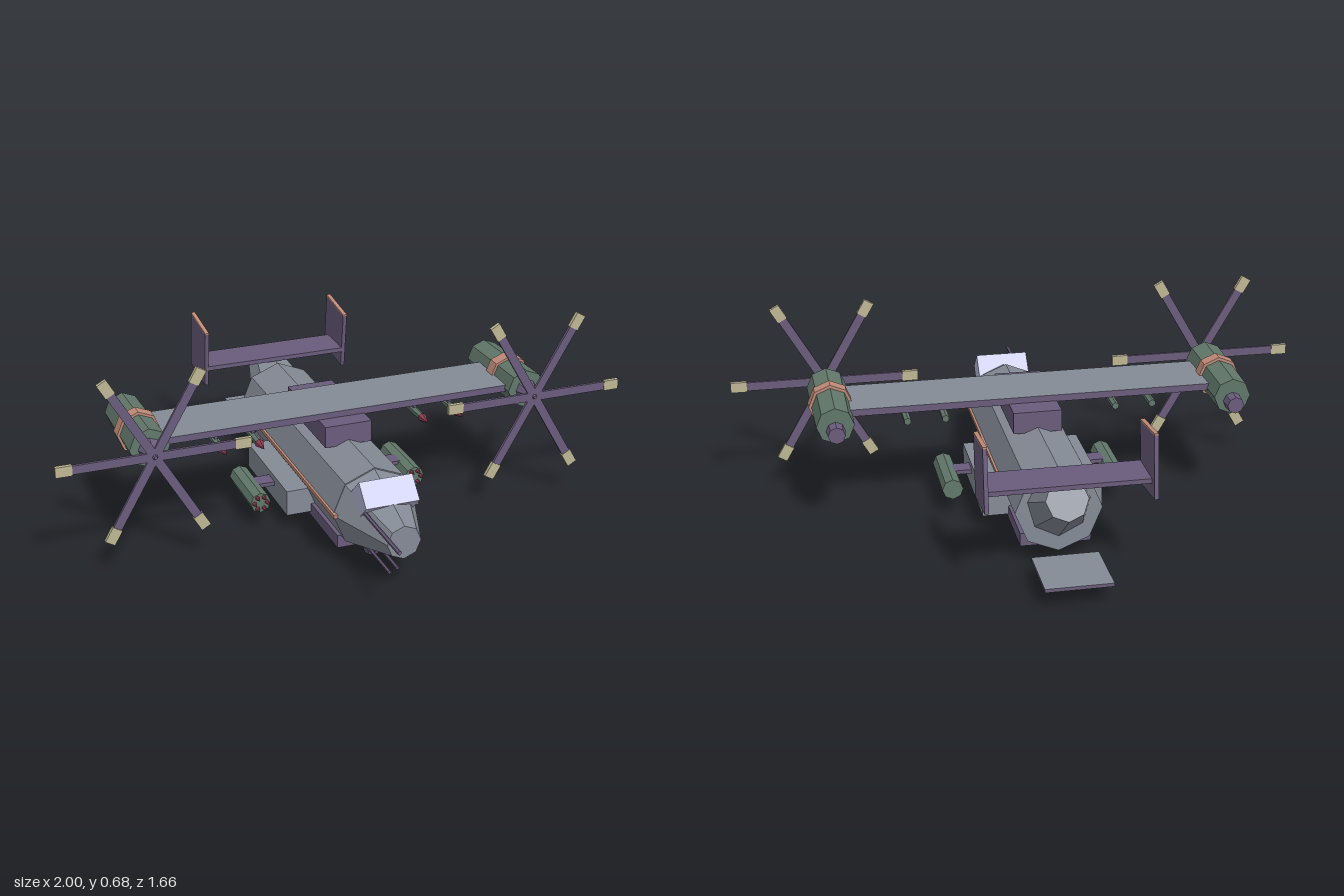
import * as THREE from 'three';

function mat(name, color) {
  const m = new THREE.MeshStandardMaterial({ color });
  m.name = name;
  return m;
}

export function createModel() {
  const grey = mat('hull grey', 0x858b96);
  const purple = mat('dusky purple', 0x6a5c7c);
  const green = mat('pod green', 0x62786b);
  const orange = mat('trim orange', 0xc08c79);
  const tan = mat('blade tip tan', 0xbfb794);
  const glass = mat('glass lavender', 0xbcbce0);
  const red = mat('warhead red', 0x8c3a50);

  const model = new THREE.Group();
  model.name = 'tiltrotorAircraft';
  const craft = new THREE.Group();
  craft.name = 'aircraft';
  craft.rotation.y = -0.038; // slight yaw of the whole craft
  craft.position.x = 0.005;
  model.add(craft);

  // Faceted mesh helper
  function add(parent, name, geometry, material, x, y, z) {
    const g = geometry.index ? geometry.toNonIndexed() : geometry;
    g.computeVertexNormals();
    const mesh = new THREE.Mesh(g, material);
    mesh.name = name;
    mesh.position.set(x, y, z);
    parent.add(mesh);
    return mesh;
  }
  const box = (parent, name, m, w, h, d, x, y, z) =>
    add(parent, name, new THREE.BoxGeometry(w, h, d), m, x, y, z);
  // Prism along z from z0 (radius r0) to z1 (radius r1)
  const rod = (parent, name, m, r0, r1, z0, z1, x, y, sides = 8) =>
    add(parent, name,
      new THREE.CylinderGeometry(r1, r0, z1 - z0, sides).rotateX(Math.PI / 2),
      m, x, y, (z0 + z1) / 2);
  // Plate whose upper face alone is grey
  const topGrey = [purple, purple, grey, purple, purple, purple];

  // Fuselage
  rod(craft, 'fuselage', grey, 0.144, 0.144, -0.515, 0.43, 0, 0.182);
  rod(craft, 'nose', grey, 0.144, 0.058, 0.43, 0.68, 0, 0.178);
  const tail = rod(craft, 'tailCone', grey, 0.07, 0.12, -0.105, 0.105, 0, 0.232);
  tail.position.z = -0.545;
  tail.rotation.x = 0.44;
  box(craft, 'keel', purple, 0.235, 0.045, 0.87, 0, 0.0625, -0.032);
  box(craft, 'wingMount', purple, 0.165, 0.075, 0.37, 0, 0.345, 0.015);
  box(craft, 'rearRamp', topGrey, 0.22, 0.012, 0.215, 0, 0.067, -0.722);
  const windscreen = box(craft, 'windscreen', glass, 0.185, 0.092, 0.092, 0, 0.267, 0.522);
  windscreen.rotation.x = 0.8;

  // Nose equipment
  rod(craft, 'refuellingProbe', purple, 0.007, 0.007, 0.5, 0.835, -0.083, 0.235, 6);
  add(craft, 'chinTurret', new THREE.SphereGeometry(0.034, 8, 4), purple, 0, 0.034, 0.415);
  for (const s of [-1, 1]) {
    rod(craft, 'gunBarrel', purple, 0.006, 0.006, 0.42, 0.6, s * 0.014, 0.036 + s * 0.005, 6);
  }

  // Wing and tailplane
  box(craft, 'wing', topGrey, 1.3, 0.024, 0.222, 0, 0.392, 0.024);
  box(craft, 'tailplane', purple, 0.54, 0.016, 0.145, 0, 0.335, -0.603);

  for (const s of [-1, 1]) {
    const side = s > 0 ? 'left' : 'right';

    // Hull side trim, sponson and rocket pod
    box(craft, side + 'Stripe', orange, 0.014, 0.014, 0.73, s * 0.142, 0.182, 0.085);
    box(craft, side + 'Sponson', grey, 0.12, 0.09, 0.41, s * 0.145, 0.1, -0.05);
    box(craft, side + 'PodArm', purple, 0.09, 0.014, 0.06, s * 0.235, 0.118, 0);
    const pod = new THREE.Group();
    pod.name = side + 'RocketPod';
    pod.position.set(s * 0.284, 0.097, 0);
    craft.add(pod);
    rod(pod, 'podBody', green, 0.036, 0.036, -0.118, 0.112, 0, 0);
    for (let i = 0; i < 6; i++) {
      const a = (i * Math.PI) / 3;
      rod(pod, 'rocketTip', red, 0.008, 0, 0.112, 0.14, Math.cos(a) * 0.023, Math.sin(a) * 0.023, 6);
    }

    // Missiles beneath the wing
    for (const x of [0.295, 0.425]) {
      const missile = new THREE.Group();
      missile.name = side + 'Missile';
      missile.position.set(s * x, 0.335, 0);
      craft.add(missile);
      rod(missile, 'missileBody', green, 0.013, 0.013, -0.06, 0.14, 0, 0, 6);
      rod(missile, 'missileTip', red, 0.016, 0, 0.14, 0.192, 0, 0, 6);
      box(missile, 'missilePylon', purple, 0.012, 0.045, 0.08, 0, 0.028, 0.04);
    }

    // Tail fin with coloured top edge
    const fin = new THREE.Group();
    fin.name = side + 'Fin';
    fin.position.set(s * 0.268, 0.384, -0.615);
    fin.rotation.x = 0.12;
    craft.add(fin);
    box(fin, 'finPanel', purple, 0.014, 0.208, 0.175, 0, -0.003, 0);
    box(fin, 'finCap', orange, 0.0145, 0.006, 0.175, 0, 0.104, 0);

    // Engine nacelle
    const nacelle = new THREE.Group();
    nacelle.name = side + 'Nacelle';
    nacelle.position.set(s * 0.676, 0.39, 0);
    craft.add(nacelle);
    const body = rod(nacelle, 'nacelleBody', green, 0.063, 0.068, -0.173, 0.168, 0, 0);
    body.rotation.x = -0.02;
    rod(nacelle, 'nacelleBand', orange, 0.075, 0.075, -0.008, 0.038, 0, 0.001);
    rod(nacelle, 'exhaust', purple, 0.029, 0.034, -0.217, -0.13, 0, -0.02);
    rod(nacelle, 'spinner', purple, 0.04, 0.006, 0.166, 0.24, 0, 0);

    // Six-bladed rotor
    const rotor = new THREE.Group();
    rotor.name = side + 'Rotor';
    rotor.position.z = 0.228;
    nacelle.add(rotor);
    for (let i = 0; i < 6; i++) {
      const blade = new THREE.Group();
      blade.name = 'blade';
      blade.rotation.z = (i * Math.PI) / 3;
      rotor.add(blade);
      box(blade, 'bladeSpar', purple, 0.275, 0.03, 0.01, 0.1375, 0, 0);
      box(blade, 'bladeTip', tan, 0.055, 0.036, 0.014, 0.2975, 0, 0);
    }
  }
  return model;
}
